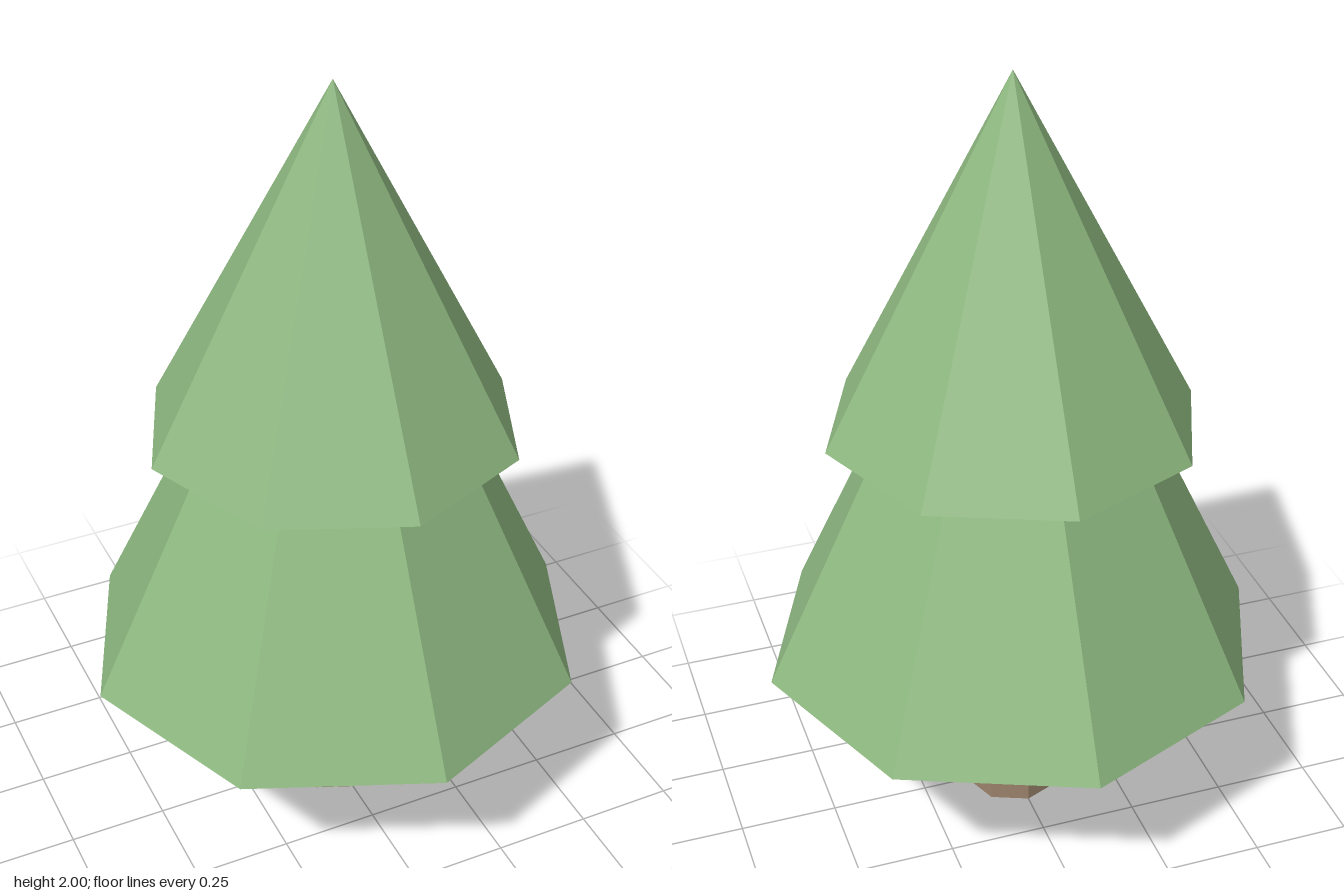
import * as THREE from 'three';

const SIDES = 8;

export function createModel() {
  const tree = new THREE.Group();
  tree.name = 'pineTree';

  const needles = new THREE.MeshStandardMaterial({ color: 0x8fb981, flatShading: true });
  needles.name = 'needleGreen';
  const bark = new THREE.MeshStandardMaterial({ color: 0x9b836b, flatShading: true });
  bark.name = 'barkBrown';

  // Adds a solid standing on height `bottom`
  const addPart = (name, geometry, material, bottom, height) => {
    const mesh = new THREE.Mesh(geometry, material);
    mesh.name = name;
    mesh.position.y = bottom + height / 2;
    tree.add(mesh);
  };

  // Trunk: octagonal post
  addPart('trunk', new THREE.CylinderGeometry(0.13, 0.13, 0.457, SIDES), bark, 0, 0.457);

  // Foliage: two overlapping octagonal cones
  const tiers = [
    { name: 'lowerFoliage', radius: 0.643, bottom: 0.457, top: 1.81 },
    { name: 'upperFoliage', radius: 0.471, bottom: 1.1, top: 2 },
  ];
  for (const { name, radius, bottom, top } of tiers) {
    const height = top - bottom;
    addPart(name, new THREE.ConeGeometry(radius, height, SIDES), needles, bottom, height);
  }

  return tree;
}
